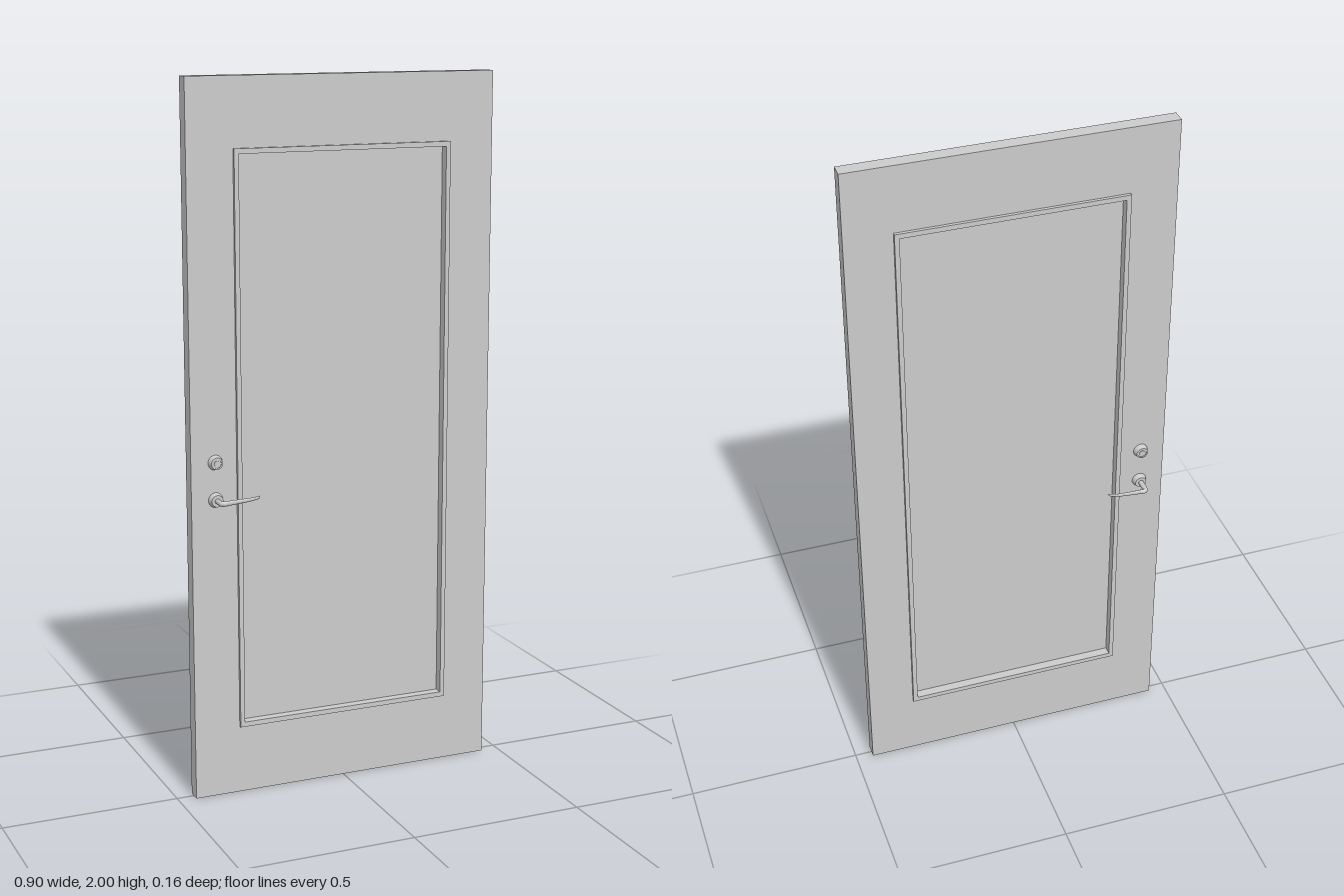
import * as THREE from 'three';

const MID = 0.002;   // middle of the door's thickness
const LOCK_X = -0.38;
const material = new THREE.MeshStandardMaterial({ color: 0xcccccc });

function add(parent, name, geometry) {
  const mesh = new THREE.Mesh(geometry, material);
  mesh.name = name;
  parent.add(mesh);
  return mesh;
}

// Rectangular frame with a rectangular opening, extruded about the door's middle
function frame(x, y0, y1, ix, iy0, iy1, depth) {
  const rect = (Type, w, a, b) => {
    const s = new Type();
    s.moveTo(-w, a);
    s.lineTo(w, a);
    s.lineTo(w, b);
    s.lineTo(-w, b);
    s.closePath();
    return s;
  };
  const shape = rect(THREE.Shape, x, y0, y1);
  shape.holes.push(rect(THREE.Path, ix, iy0, iy1));
  const g = new THREE.ExtrudeGeometry(shape, { depth, bevelEnabled: false });
  return g.translate(0, 0, MID - depth / 2);
}

// Turned part whose axis points out of the door face
function turned(points) {
  const g = new THREE.LatheGeometry(points.map(p => new THREE.Vector2(...p)), 28);
  return g.rotateX(Math.PI / 2).toNonIndexed();
}

// Lever: a bent round bar that flattens and tapers towards its curled tip
function leverGeometry(reach) {
  const path = new THREE.CurvePath();
  const v = (x, y, z) => new THREE.Vector3(x, y, z);
  const bend = v(0, 0, reach - 0.01);
  path.add(new THREE.LineCurve3(v(0, 0, 0.01), bend));
  path.add(new THREE.QuadraticBezierCurve3(bend, v(0, 0, reach), v(0.012, 0.001, reach)));
  path.add(new THREE.LineCurve3(v(0.012, 0.001, reach), v(0.078, 0.005, reach)));
  path.add(new THREE.QuadraticBezierCurve3(v(0.078, 0.005, reach), v(0.1, 0.007, reach), v(0.113, 0.008, reach - 0.009)));
  const n = 48, sides = 14;
  const g = new THREE.TubeGeometry(path, n, 0.0075, sides, false);
  const pos = g.attributes.position;
  const p = new THREE.Vector3();
  for (let i = 0; i <= n; i++) {
    const c = path.getPointAt(i / n);
    const t = THREE.MathUtils.clamp(c.x / 0.113, 0, 1);
    const slim = i === n ? 0.03 : 1 - 0.45 * t;
    const flat = i === n ? 0.03 : THREE.MathUtils.lerp(1, 0.5, Math.min(t * 5, 1)) * (1 - 0.6 * t * t);
    for (let j = 0; j <= sides; j++) {
      const k = i * (sides + 1) + j;
      p.fromBufferAttribute(pos, k).sub(c);
      p.set(p.x * flat, p.y * slim, p.z * flat).add(c);
      pos.setXYZ(k, p.x, p.y, p.z);
    }
  }
  g.computeVertexNormals();
  return g;
}

// Lock and handle for one face; local z = 0 is the door face
function hardware(reach) {
  const group = new THREE.Group();
  const lock = new THREE.Group();
  lock.name = 'deadbolt';
  lock.position.set(LOCK_X, 0.965, 0);
  // collar with a slightly recessed cylinder face
  const collar = turned([[0.0001, 0.014], [0.0125, 0.014], [0.0125, 0.016], [0.0165, 0.016], [0.021, 0]].reverse());
  collar.computeVertexNormals();
  add(lock, 'deadboltCollar', collar);
  add(lock, 'keyCylinder', new THREE.CylinderGeometry(0.008, 0.008, 0.003, 20)
    .rotateX(Math.PI / 2).translate(0, 0, 0.0145));

  const handle = new THREE.Group();
  handle.name = 'handle';
  handle.position.set(LOCK_X, 0.86, 0);
  add(handle, 'handleRose', new THREE.CylinderGeometry(0.0165, 0.021, 0.016, 28)
    .rotateX(Math.PI / 2).translate(0, 0, 0.008));
  add(handle, 'lever', leverGeometry(reach));

  group.add(lock, handle);
  return group;
}

export function createModel() {
  const door = new THREE.Group();
  door.name = 'door';

  // Slab, moulding around the opening and thin pane in its middle
  add(door, 'doorSlab', frame(0.45, 0, 2, 0.312, 0.202, 1.803, 0.04));
  add(door, 'paneTrim', frame(0.318, 0.195, 1.81, 0.305, 0.209, 1.796, 0.058));
  add(door, 'pane', new THREE.BoxGeometry(0.612, 1.59, 0.006)).position.set(0, 1.0025, MID);

  // Front hardware
  const front = hardware(0.052);
  front.name = 'frontHardware';
  front.position.z = MID + 0.02;
  door.add(front);

  // Back hardware, mirrored in z with the triangle winding turned to match
  const back = hardware(0.058);
  back.name = 'backHardware';
  back.scale.z = -1;
  back.position.z = MID - 0.02;
  door.add(back);

  return door;
}
